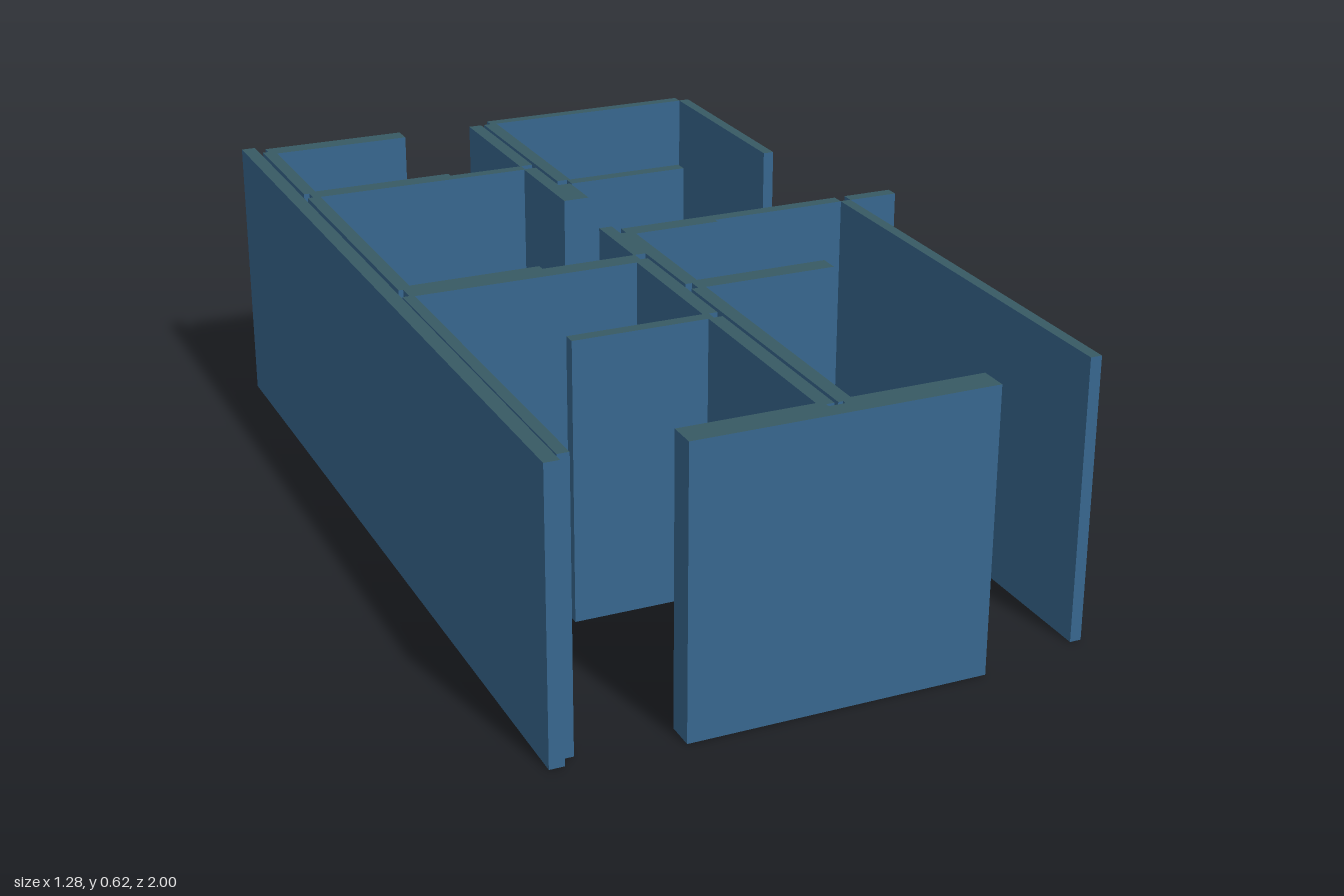
import * as THREE from 'three';

const HEIGHT = 0.62;

// Each wall run in plan: [name, x0, x1, z0, z1]
const WALLS = [
  // long outer side and its inner lining
  ['outerWall', -0.64, -0.608, -1.0, 0.98],
  ['liningBack', -0.6, -0.571, -0.955, -0.61],
  ['liningMiddle', -0.6, -0.571, -0.58, 0.07],
  ['liningFront', -0.605, -0.58, 0.11, 0.955],
  // cross walls on the long side
  ['backRoomWall', -0.587, -0.247, -0.98, -0.935],
  ['backPartitionLining', -0.587, -0.247, -0.62, -0.603],
  ['backPartition', -0.587, -0.07, -0.605, -0.577],
  ['middlePartitionLining', -0.571, -0.282, 0.052, 0.072],
  ['middlePartition', -0.59, -0.07, 0.07, 0.115],
  ['frontRoomDivider', -0.38, -0.072, 0.445, 0.473],
  // double spine, back half
  ['spineBackRight', -0.073, -0.042, -0.955, -0.605],
  ['spineBackLeft', -0.034, -0.002, -0.955, -0.465],
  ['spineStubRight', -0.073, -0.042, -0.58, -0.325],
  ['spineStubLeft', -0.043, -0.013, -0.437, -0.325],
  // double spine, front half
  ['spineMiddleRight', -0.073, -0.043, -0.12, 0.07],
  ['spineMiddleLeft', -0.043, -0.013, -0.07, 0.07],
  ['spineFrontLeft', -0.045, -0.013, 0.07, 0.275],
  ['spineFrontRight', -0.085, -0.053, 0.1, 0.447],
  ['spineEndRight', -0.085, -0.053, 0.471, 0.95],
  ['spineEndLeft', -0.045, -0.013, 0.305, 0.95],
  // rooms on the other side
  ['backEndWall', -0.017, 0.5, -0.98, -0.953],
  ['backSideWall', 0.5, 0.525, -0.955, -0.463],
  ['hallWall', -0.01, 0.275, -0.465, -0.435],
  ['roomBackWall', -0.03, 0.5, -0.098, -0.068],
  ['roomBackLining', -0.013, 0.185, -0.07, -0.055],
  ['outerFin', 0.525, 0.64, -0.098, -0.068],
  ['roomDivider', -0.03, 0.285, 0.262, 0.307],
  ['frontSideWall', 0.5, 0.525, -0.07, 0.955],
  // front facade, around the gap in the spine
  ['facadeInnerRight', -0.37, -0.07, 0.938, 0.965],
  ['facadeInnerLeft', -0.035, 0.275, 0.938, 0.965],
  ['facade', -0.37, 0.275, 0.96, 1.0],
];

export function createModel() {
  const model = new THREE.Group();
  model.name = 'floorPlanWalls';
  const side = new THREE.MeshStandardMaterial({ color: 0x38678f });
  side.name = 'wallBlue';
  const cap = new THREE.MeshStandardMaterial({ color: 0x385a64 });
  cap.name = 'capTeal';
  // blue faces all round, teal top and bottom
  const materials = [side, side, cap, cap, side, side];

  for (const [name, x0, x1, z0, z1] of WALLS) {
    const wall = new THREE.Mesh(new THREE.BoxGeometry(x1 - x0, HEIGHT, z1 - z0), materials);
    wall.position.set((x0 + x1) / 2, HEIGHT / 2, (z0 + z1) / 2);
    wall.name = name;
    model.add(wall);
  }
  return model;
}
